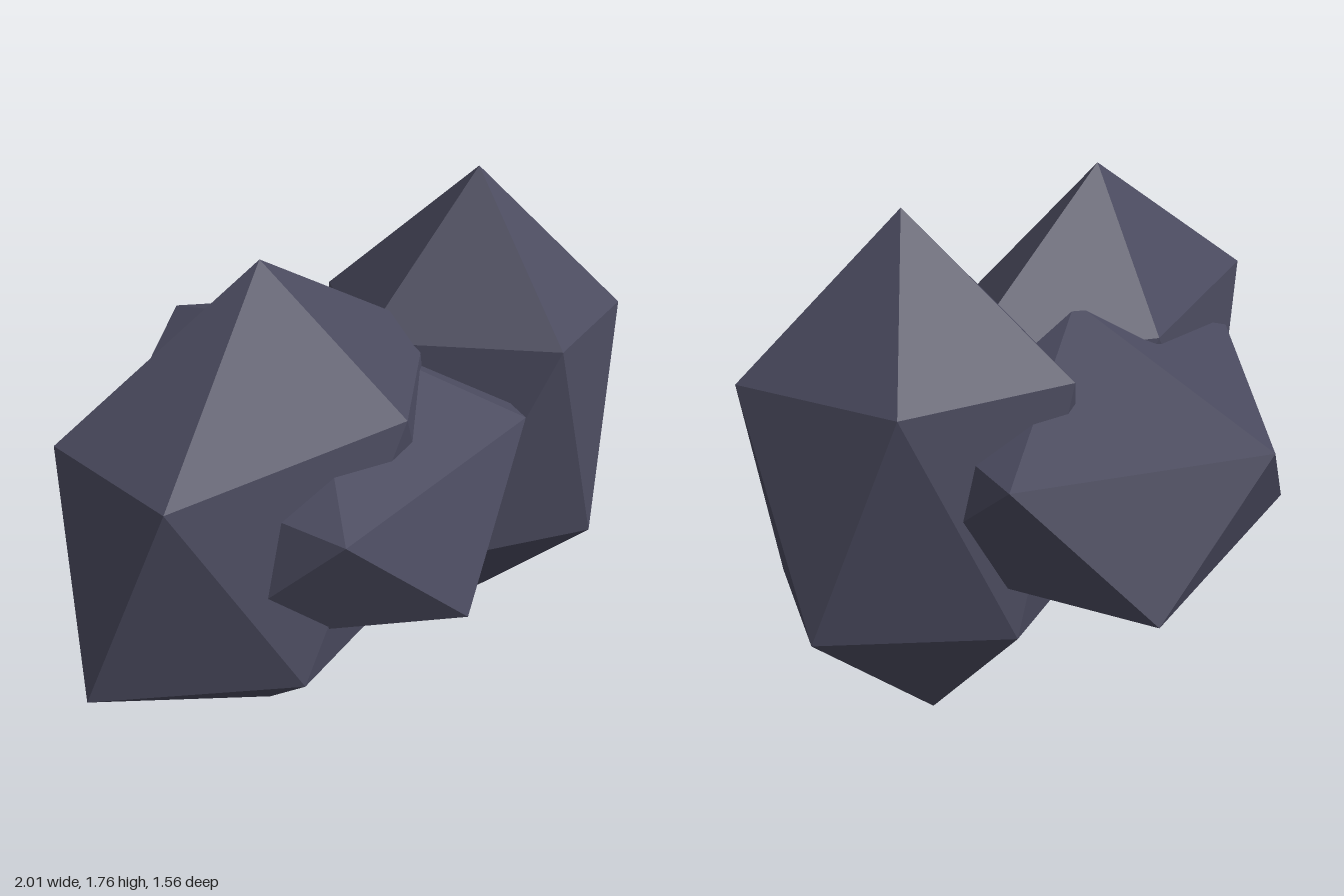
import * as THREE from 'three';

// Stretched twenty-sided rock: two poles, an upper ring of five corners,
// and a lower ring that is the upper one mirrored through the centre.
function rockGeometry(height, ring) {
  const ringY = height * 0.447;
  const upper = ring.map(([x, z]) => [x, ringY, z]);
  const lower = ring.map((_, k) => upper[(k + 3) % 5].map((v) => -v));
  const top = [0, height, 0];
  const bottom = [0, -height, 0];
  const points = [];
  for (let k = 0; k < 5; k++) {
    const n = (k + 1) % 5;
    points.push(
      top, upper[n], upper[k],
      upper[k], upper[n], lower[k],
      lower[k], upper[n], lower[n],
      bottom, lower[k], lower[n]
    );
  }
  const geometry = new THREE.BufferGeometry();
  geometry.setAttribute('position', new THREE.Float32BufferAttribute(points.flat(), 3));
  geometry.computeVertexNormals();
  return geometry;
}

export function createModel() {
  const group = new THREE.Group();
  group.name = 'rockCluster';
  const stone = new THREE.MeshStandardMaterial({ color: 0x4a4a5e, flatShading: true });
  stone.name = 'slate stone';

  const addRock = (name, centre, height, ring) => {
    const rock = new THREE.Mesh(rockGeometry(height, ring), stone);
    rock.name = name;
    rock.position.set(...centre);
    group.add(rock);
  };

  // Wide boulder on the right
  addRock('rightBoulder', [-0.31, 0.885, 0.2], 0.825,
    [[0.7, -0.12], [0.29, 0.32], [-0.51, 0.34], [-0.61, -0.12], [0.13, -0.42]]);

  // Tall narrow boulder on the left
  addRock('leftBoulder', [0.56, 0.885, 0.09], 0.88,
    [[0.44, 0.25], [0.04, 0.41], [-0.44, 0.01], [-0.28, -0.41], [0.24, -0.26]]);

  // Low boulder running front to back through both
  addRock('middleBoulder', [-0.02, 0.885, 0], 0.47,
    [[0.48, 0.51], [-0.37, 0.745], [-0.7, -0.045], [-0.06, -0.78], [0.65, -0.43]]);

  return group;
}
